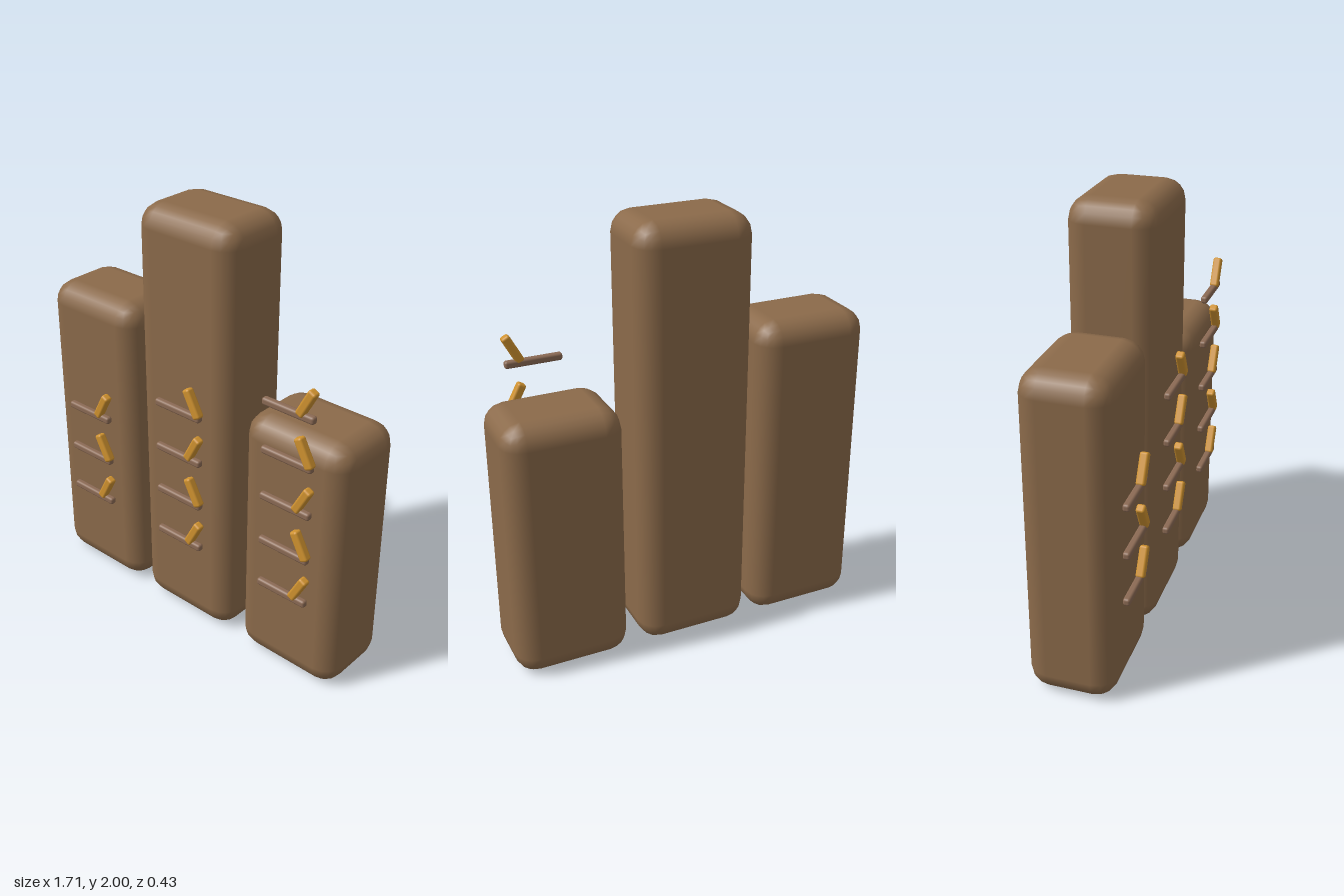
import * as THREE from 'three';
import { RoundedBoxGeometry } from 'three/addons/geometries/RoundedBoxGeometry.js';

function material(name, color) {
  const m = new THREE.MeshStandardMaterial({ color });
  m.name = name;
  return m;
}

export function createModel() {
  const model = new THREE.Group();
  model.name = 'pillarsWithPegs';
  const brown = material('pillar brown', 0x8b6a4a);
  const bark = material('perch brown', 0x8b6a54);
  const amber = material('peg amber', 0xcf922f);

  const add = (parent, name, geometry, mat, x, y, z, tilt = 0) => {
    const mesh = new THREE.Mesh(geometry, mat);
    mesh.name = name;
    mesh.position.set(x, y, z);
    mesh.rotation.z = tilt;
    parent.add(mesh);
  };

  const barGeometry = new RoundedBoxGeometry(0.26, 0.034, 0.032, 2, 0.011);
  const pegGeometry = new RoundedBoxGeometry(0.04, 0.14, 0.04, 2, 0.011);

  // Three rounded pillars, each with a ladder of bars on its front
  const columns = [
    { name: 'rightPillar', x: -0.587, height: 1.49, rows: 3 },
    { name: 'middlePillar', x: -0.015, height: 2.0, rows: 4 },
    { name: 'leftPillar', x: 0.585, height: 1.23, rows: 5 },
  ];
  for (const { name, x, height, rows } of columns) {
    const column = new THREE.Group();
    column.name = name + 'Group';
    column.position.x = x;
    model.add(column);
    add(column, name, new RoundedBoxGeometry(0.535, height, 0.393, 2, 0.098), brown, 0, height / 2, -0.019);

    // Bars at even spacing; the slanted pegs lean alternately
    for (let i = 0; i < rows; i++) {
      const y = 0.447 + i * 0.2265;
      const lean = i % 2 ? 0.49 : -0.49;
      add(column, 'bar', barGeometry, bark, 0, y, 0.196);
      add(column, 'slantedPeg', pegGeometry, amber, 0.089, y + 0.066, 0.199, lean);
    }
  }
  return model;
}
